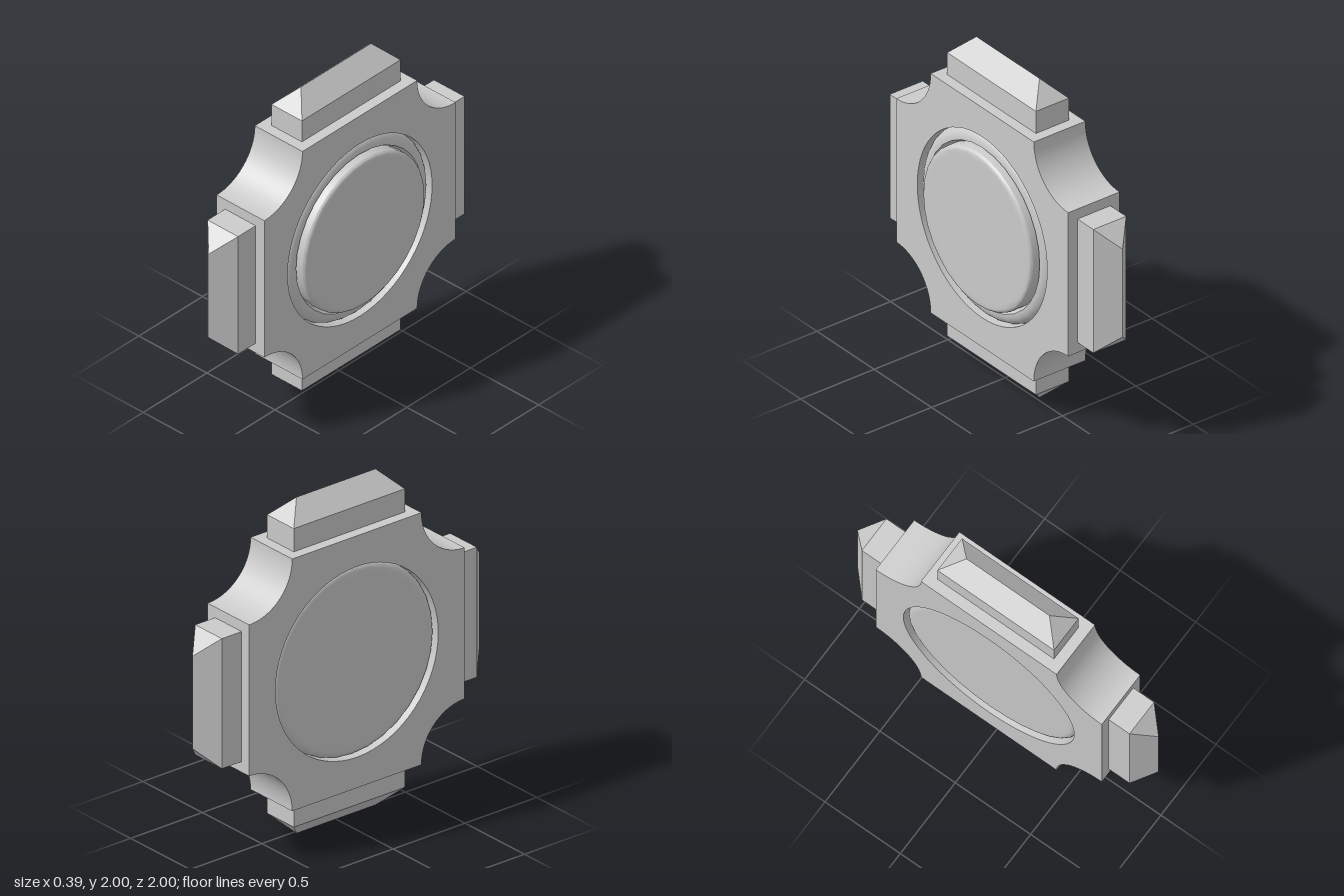
import * as THREE from 'three';
import { toCreasedNormals } from 'three/addons/utils/BufferGeometryUtils.js';
import { ConvexGeometry } from 'three/addons/geometries/ConvexGeometry.js';

const material = new THREE.MeshStandardMaterial({ color: 0xcccccc });
const MID_X = -0.02; // middle of the plate's thickness
const HOLE = 0.567;

function part(name, geometry) {
  const mesh = new THREE.Mesh(geometry, material);
  mesh.name = name;
  return mesh;
}

// Cross-shaped plate with concave corners and a round opening
function plateGeometry() {
  const a = 0.75, r = 0.3, q = Math.PI / 2;
  const shape = new THREE.Shape();
  shape.moveTo(a, -(a - r));
  for (let i = 0; i < 4; i++) {
    const t = q / 2 + i * q;
    const cx = Math.sign(Math.cos(t)) * a, cy = Math.sign(Math.sin(t)) * a;
    shape.absarc(cx, cy, r, -q + i * q, -2 * q + i * q, true);
  }
  shape.closePath();
  const hole = new THREE.Path();
  hole.absarc(0, 0, HOLE, 0, Math.PI * 2, true);
  shape.holes.push(hole);
  const g = new THREE.ExtrudeGeometry(shape, { depth: 0.35, bevelEnabled: false, curveSegments: 32 });
  g.translate(0, 0, -0.175);
  g.rotateY(Math.PI / 2);
  return toCreasedNormals(g, Math.PI / 6);
}

// Points of an elliptical round between two angles
function round(cx, cy, rx, ry, from, to, n = 6) {
  return Array.from({ length: n + 1 }, (_, i) => {
    const t = from + (to - from) * i / n;
    return new THREE.Vector2(cx + rx * Math.cos(t), cy + ry * Math.sin(t));
  });
}

// Turned piece whose axis runs along x
function turned(points) {
  const g = new THREE.LatheGeometry(points, 32);
  g.rotateZ(-Math.PI / 2);
  return toCreasedNormals(g, Math.PI / 5);
}

// Block with a hipped, ridged end
function blockGeometry() {
  const pts = [];
  for (const s of [-1, 1]) {
    for (const x of [-0.112, 0.112]) {
      for (const y of [0.7, 0.888]) pts.push(new THREE.Vector3(x, y, s * 0.387));
    }
    pts.push(new THREE.Vector3(0, 1, s * 0.275));
  }
  return new ConvexGeometry(pts);
}

export function createModel() {
  const group = new THREE.Group();
  group.name = 'crossMedallion';

  const plate = part('plate', plateGeometry());
  plate.position.set(MID_X, 1, 0);
  group.add(plate);

  // Core filling the opening: softly rounded back, low rounded ring on the other side
  const h = Math.PI / 2;
  const core = part('core', turned([
    new THREE.Vector2(0, -0.176),
    new THREE.Vector2(0.5, -0.176),
    ...round(HOLE - 0.045, -0.131, 0.045, 0.045, -h, 0),
    ...round(0.495, 0.09, HOLE - 0.495, 0.06, 0, h, 8),
    new THREE.Vector2(0.478, 0.115),
    new THREE.Vector2(0, 0.115),
  ]));
  core.position.y = 1;
  group.add(core);

  // Raised disc with a softened rim
  const disc = part('raisedDisc', turned([
    new THREE.Vector2(0.478, 0.1),
    ...round(0.453, 0.17, 0.025, 0.025, 0, h),
    new THREE.Vector2(0.43, 0.195),
    new THREE.Vector2(0, 0.195),
  ]));
  disc.position.y = 1;
  group.add(disc);

  // Four ridged blocks, one on each arm
  const block = blockGeometry();
  ['topBlock', 'frontBlock', 'bottomBlock', 'backBlock'].forEach((name, i) => {
    const mesh = part(name, block);
    mesh.position.set(MID_X, 1, 0);
    mesh.rotation.x = i * Math.PI / 2;
    group.add(mesh);
  });

  return group;
}
